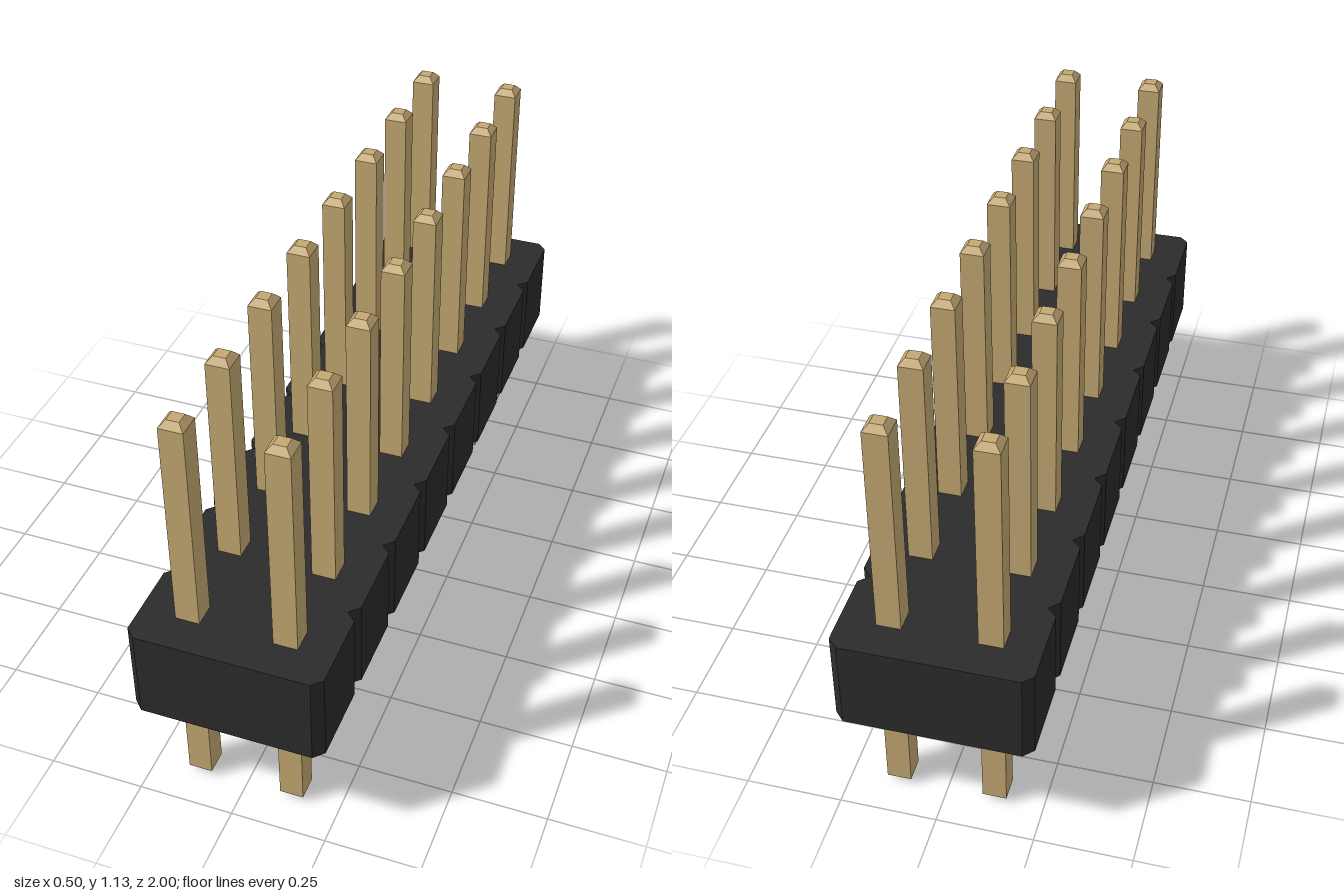
import * as THREE from 'three';

const ROWS = 8, PITCH = 0.25;
const HALF_WIDTH = 0.248, CHAMFER = 0.025;
const BODY_BOTTOM = 0.297, BODY_HEIGHT = 0.248;
const PIN_HEIGHT = 1.135, PIN_HALF = 0.031, TIP_HALF = 0.016, TIP_HEIGHT = 0.017;

// Housing outline: one chamfered cell per row, leaving V notches between cells
function housingGeometry() {
  const right = [];
  for (let i = 0; i < ROWS; i++) {
    const a = -1 + i * PITCH, b = a + PITCH;
    right.push(
      [HALF_WIDTH - CHAMFER, a], [HALF_WIDTH, a + CHAMFER],
      [HALF_WIDTH, b - CHAMFER]);
  }
  right.push([HALF_WIDTH - CHAMFER, 1]);
  const left = right.map(([x, y]) => [-x, y]).reverse();
  const outline = [...right, ...left].map(([x, y]) => new THREE.Vector2(x, y));
  const geometry = new THREE.ExtrudeGeometry(new THREE.Shape(outline), { depth: BODY_HEIGHT, bevelEnabled: false });
  return geometry.rotateX(-Math.PI / 2).translate(0, BODY_BOTTOM, 0);
}

// Square pin with a tapered tip at both ends: a four-sided lathe
function pinGeometry() {
  const profile = [
    [0, 0], [TIP_HALF, 0], [PIN_HALF, TIP_HEIGHT],
    [PIN_HALF, PIN_HEIGHT - TIP_HEIGHT], [TIP_HALF, PIN_HEIGHT], [0, PIN_HEIGHT],
  ].map(([r, y]) => new THREE.Vector2(r * Math.SQRT2, y));
  return new THREE.LatheGeometry(profile, 4, Math.PI / 4);
}

export function createModel() {
  const model = new THREE.Group();
  model.name = 'pinHeader';
  const plastic = new THREE.MeshStandardMaterial({ color: 0x2b2b2b, flatShading: true });
  const gold = new THREE.MeshStandardMaterial({ color: 0xc4a872, flatShading: true });

  const housing = new THREE.Mesh(housingGeometry(), plastic);
  housing.name = 'housing';
  model.add(housing);

  // Two columns of pins
  const pins = new THREE.Group();
  pins.name = 'pins';
  const geometry = pinGeometry();
  for (const side of [-1, 1]) {
    for (let i = 0; i < ROWS; i++) {
      const pin = new THREE.Mesh(geometry, gold);
      pin.name = side > 0 ? 'leftPin' : 'rightPin';
      pin.position.set(side * PITCH / 2, 0, (i - (ROWS - 1) / 2) * PITCH);
      pins.add(pin);
    }
  }
  model.add(pins);
  return model;
}
